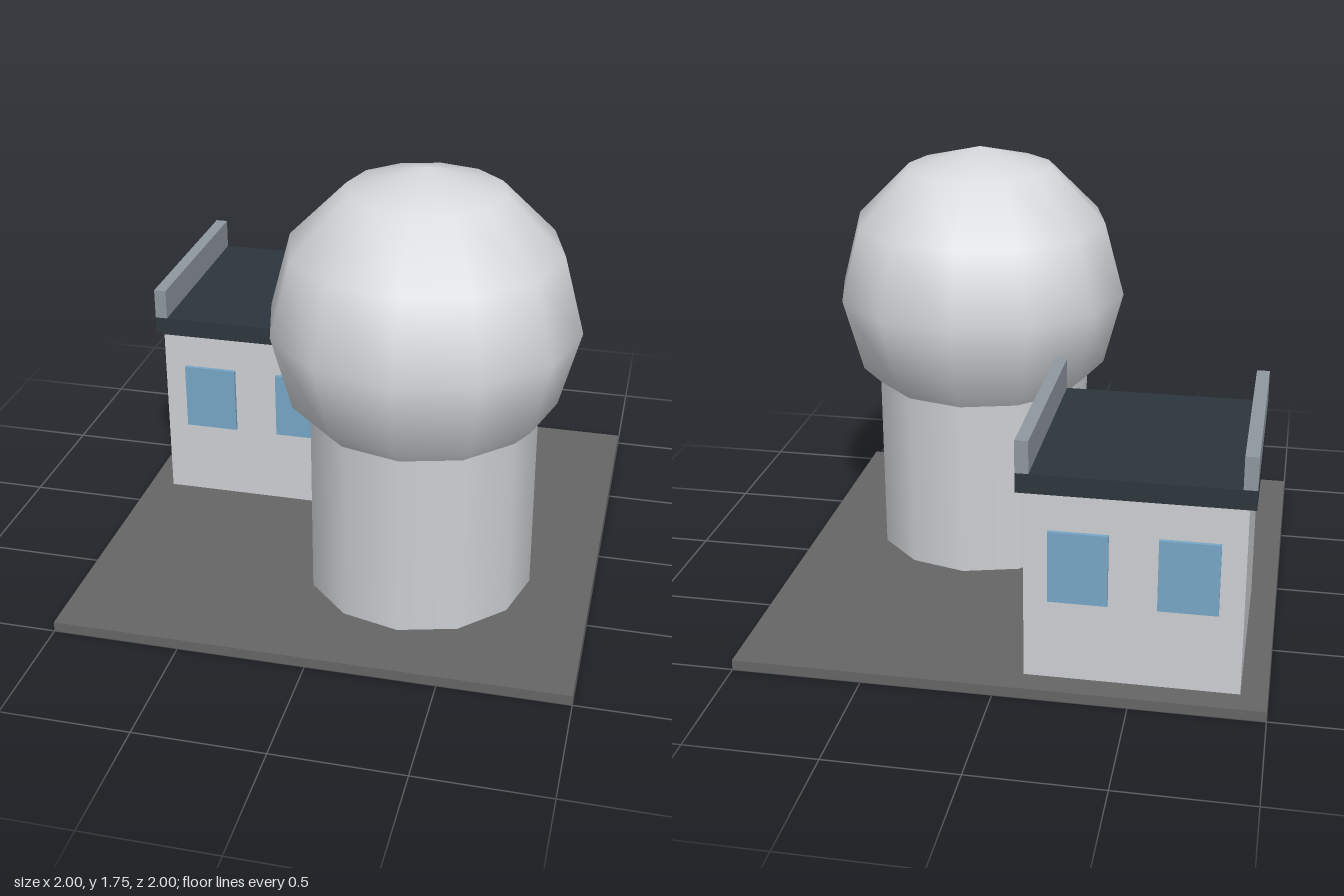
import * as THREE from 'three';

const mat = (name, color) => {
  const m = new THREE.MeshStandardMaterial({ color });
  m.name = name;
  return m;
};

export function createModel() {
  const model = new THREE.Group();
  model.name = 'domeStation';

  const ground = mat('ground grey', 0x666666);
  const shell = mat('dome white', 0xd6dadd);
  const wall = mat('wall grey', 0xcdd0d3);
  const roofing = mat('roof slate', 0x2d363d);
  const trim = mat('parapet grey', 0x8f989f);
  const glass = mat('window blue', 0x78a7c7);

  const add = (name, geometry, material, x, y, z) => {
    const mesh = new THREE.Mesh(geometry, material);
    mesh.name = name;
    mesh.position.set(x, y, z);
    model.add(mesh);
    return mesh;
  };
  const box = (name, material, w, h, d, x, y, z) =>
    add(name, new THREE.BoxGeometry(w, h, d), material, x, y, z);

  // Base slab
  box('base', ground, 2, 0.04, 2, 0, 0.02, 0);

  // Round tower carrying the ball-shaped dome
  add('tower', new THREE.CylinderGeometry(0.45, 0.45, 0.75, 12), wall, 0.3, 0.415, 0.3);
  add('dome', new THREE.SphereGeometry(0.6, 12, 6), shell, 0.3, 1.15, 0.3);

  // Square building with an overhanging flat roof
  box('building', wall, 0.8, 0.75, 0.8, -0.5, 0.415, -0.5);
  box('roof', roofing, 0.85, 0.075, 0.85, -0.5, 0.8275, -0.5);

  for (const side of [-1, 1]) {
    // Parapets along the two side edges of the roof
    box('parapet', trim, 0.05, 0.125, 0.85, -0.5 + side * 0.4, 0.9275, -0.5);

    // Two windows on the front wall and two on the back wall
    for (const face of [-1, 1]) {
      box('window', glass, 0.22, 0.28, 0.015, -0.5 + side * 0.2, 0.5, -0.5 + face * 0.4075);
    }
  }

  return model;
}
